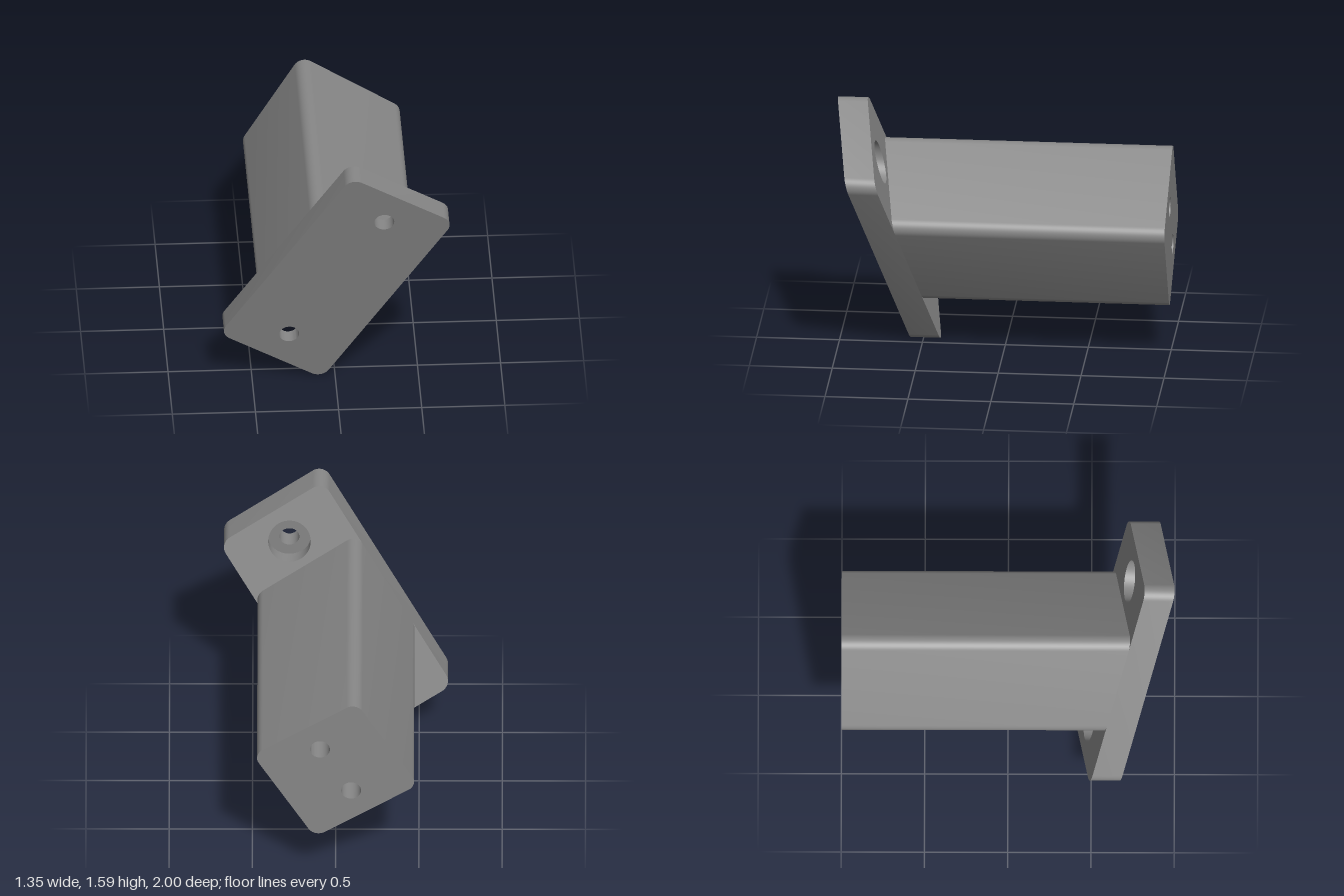
import * as THREE from 'three';
import { mergeGeometries, toCreasedNormals } from 'three/addons/utils/BufferGeometryUtils.js';

const TILT = THREE.MathUtils.degToRad(58.3); // roll of the section about z
const MID = 0.795;                           // height of the centre line
const COS = Math.cos(TILT), SIN = Math.sin(TILT);

// sloping front and back planes of the flange, and level planes
const front = (y) => 1 - 0.266 * (1.59 - y);
const back = (y) => front(y) - 0.18;
const level = (z) => () => z;

// rolled rounded rectangle, counter-clockwise; along = offset on its long axis
function outline(halfLong, halfShort, r, along = 0) {
  const pts = [], a = halfLong - r, b = halfShort - r, n = 10;
  const round = a === 0 && b === 0;
  [[1, 1], [-1, 1], [-1, -1], [1, -1]].forEach(([su, sv], q) => {
    for (let i = 0; i < (round ? n : n + 1); i++) {
      const t = (q + i / n) * Math.PI / 2;
      const u = along + su * a + r * Math.cos(t), v = sv * b + r * Math.sin(t);
      pts.push(new THREE.Vector2(u * COS - v * SIN, MID + u * SIN + v * COS));
    }
  });
  return pts;
}
const circle = (r, along) => outline(r, r, r, along);

// flat face following a z rule, facing +z or (flipped) -z
function cap(pts, holes, zAt, flip) {
  const shape = new THREE.Shape(pts);
  shape.holes = holes.map((h) => new THREE.Path(h));
  const g = new THREE.ShapeGeometry(shape).toNonIndexed();
  const p = g.attributes.position;
  for (let i = 0; i < p.count; i++) p.setZ(i, zAt(p.getY(i)));
  if (flip) {
    for (let i = 0; i < p.count; i += 3) {
      const [x, y, z] = [p.getX(i), p.getY(i), p.getZ(i)];
      p.setXYZ(i, p.getX(i + 1), p.getY(i + 1), p.getZ(i + 1));
      p.setXYZ(i + 1, x, y, z);
    }
  }
  g.deleteAttribute('uv');
  g.computeVertexNormals();
  return g;
}

// side wall along z between two z rules; inward for bores
function wall(pts, zBack, zFront, inward) {
  const ring = inward ? [...pts].reverse() : pts;
  const pos = [];
  ring.forEach((a, i) => {
    const b = ring[(i + 1) % ring.length];
    const a0 = [a.x, a.y, zBack(a.y)], a1 = [a.x, a.y, zFront(a.y)];
    const b0 = [b.x, b.y, zBack(b.y)], b1 = [b.x, b.y, zFront(b.y)];
    pos.push(...a0, ...b0, ...b1, ...a0, ...b1, ...a1);
  });
  const g = new THREE.BufferGeometry();
  g.setAttribute('position', new THREE.Float32BufferAttribute(pos, 3));
  return toCreasedNormals(g, Math.PI / 6);
}

export function createModel() {
  const group = new THREE.Group();
  const grey = new THREE.MeshStandardMaterial({ color: 0x888888 });
  grey.name = 'grey';
  const add = (name, parts) => {
    const mesh = new THREE.Mesh(mergeGeometries(parts), grey);
    mesh.name = name;
    group.add(mesh);
  };

  // sloping flange with two counterbored screw holes
  const plate = outline(0.74, 0.366, 0.073);
  const spots = [-0.532, 0.532];
  const bores = spots.map((s) => circle(0.06, s));
  const recesses = spots.map((s) => circle(0.128, s));
  const flange = [
    cap(plate, bores, front, false),
    cap(plate, recesses, back, true),
    wall(plate, back, front, false),
  ];
  spots.forEach((s, i) => {
    const floor = level(back(MID + s * SIN) + 0.05);
    flange.push(
      wall(recesses[i], back, floor, true),
      cap(recesses[i], [bores[i]], floor, true),
      wall(bores[i], floor, front, true),
    );
  });
  add('mountingFlange', flange);

  // block running back from the flange, with two blind holes in its end
  const section = outline(0.355, 0.366, 0.07);
  const endHoles = [-0.178, 0.178].map((s) => circle(0.06, s));
  const end = level(-1), holeFloor = level(-0.6);
  const block = [wall(section, end, back, false), cap(section, endHoles, end, true)];
  endHoles.forEach((h) => {
    block.push(wall(h, end, holeFloor, true), cap(h, [], holeFloor, true));
  });
  add('standoffBlock', block);

  return group;
}
